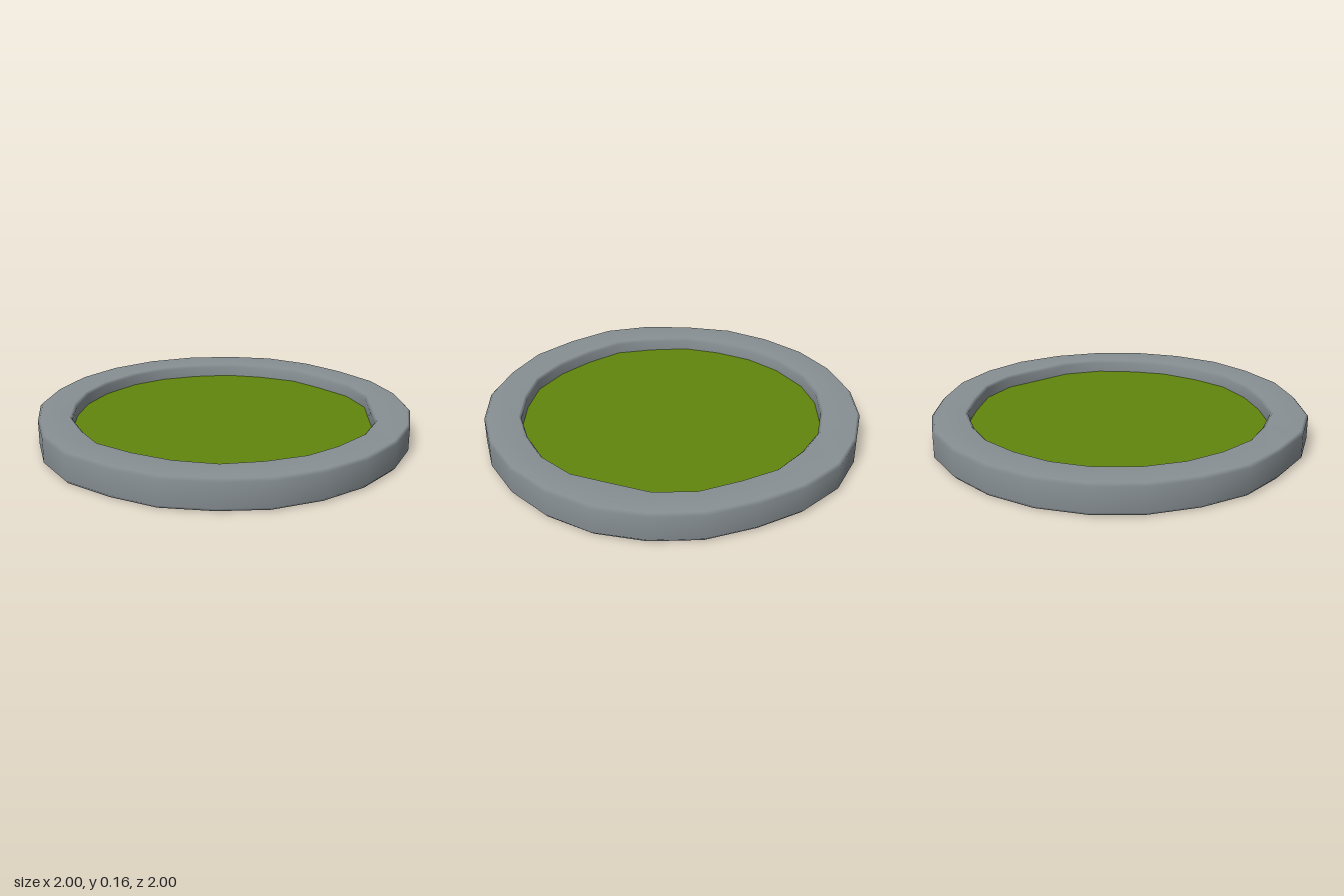
import * as THREE from 'three';

// Hand-cut outlines as [x, z], clockwise from the back, 24 corners each
const OUTER = [
  [0, -1], [0.265, -0.98], [0.505, -0.885], [0.714, -0.735], [0.869, -0.52], [0.965, -0.28],
  [1, -0.013], [0.965, 0.243], [0.869, 0.489], [0.709, 0.682], [0.505, 0.853], [0.265, 0.945],
  [0, 1], [-0.26, 0.957], [-0.5, 0.835], [-0.707, 0.693], [-0.86, 0.484], [-0.965, 0.243],
  [-1, -0.013], [-0.965, -0.28], [-0.863, -0.52], [-0.703, -0.725], [-0.5, -0.89], [-0.255, -0.977],
];
const INNER = [
  [0, -0.81], [0.22, -0.805], [0.415, -0.725], [0.565, -0.575], [0.705, -0.44], [0.79, -0.24],
  [0.805, -0.02], [0.785, 0.17], [0.7, 0.365], [0.585, 0.54], [0.405, 0.67], [0.21, 0.75],
  [0, 0.8], [-0.2, 0.757], [-0.4, 0.687], [-0.56, 0.553], [-0.69, 0.393], [-0.773, 0.2],
  [-0.805, -0.03], [-0.773, -0.227], [-0.687, -0.414], [-0.564, -0.585], [-0.4, -0.703], [-0.2, -0.797],
];
const N = OUTER.length;
const GRASS_Y = 0.09;

// Rim cross-section: [blend from outer (0) to inner (1) outline, height]
const PROFILE = [
  [0.08, 0], [0, 0.018], [0, 0.145], [0.07, 0.16], [0.93, 0.16], [1, 0.145], [1, GRASS_Y - 0.01],
];

const outline = (t) => OUTER.map(([x, z], k) => [
  THREE.MathUtils.lerp(x, INNER[k][0], t),
  THREE.MathUtils.lerp(z, INNER[k][1], t),
]);

// Smooth skin over the closed rings of the cross-section
function rimGeometry() {
  const positions = [];
  const index = [];
  PROFILE.forEach(([t, y], i) => {
    outline(t).forEach(([x, z]) => positions.push(x, y, z));
    if (i === PROFILE.length - 1) return;
    for (let k = 0; k < N; k++) {
      const next = (k + 1) % N;
      const a = i * N + k, b = i * N + next;
      index.push(a, a + N, b, b, a + N, b + N);
    }
  });
  const geometry = new THREE.BufferGeometry();
  geometry.setAttribute('position', new THREE.Float32BufferAttribute(positions, 3));
  geometry.setIndex(index);
  geometry.computeVertexNormals();
  return geometry;
}

// Flat horizontal face filling an outline; side is 1 for up, -1 for down
function discGeometry(points, side) {
  const shape = new THREE.Shape(points.map(([x, z]) => new THREE.Vector2(x, -side * z)));
  return new THREE.ShapeGeometry(shape).rotateX(-side * Math.PI / 2);
}

export function createModel() {
  const stone = new THREE.MeshStandardMaterial({ color: 0x889094 });
  stone.name = 'stone grey';
  const green = new THREE.MeshStandardMaterial({ color: 0x60860e });
  green.name = 'grass green';

  const group = new THREE.Group();
  group.name = 'roundPlanter';
  const add = (name, geometry, material, y = 0) => {
    const mesh = new THREE.Mesh(geometry, material);
    mesh.name = name;
    mesh.position.y = y;
    group.add(mesh);
  };

  add('stoneRim', rimGeometry(), stone);
  add('underside', discGeometry(outline(PROFILE[0][0]), -1), stone);
  add('grass', discGeometry(INNER, 1), green, GRASS_Y);
  return group;
}
